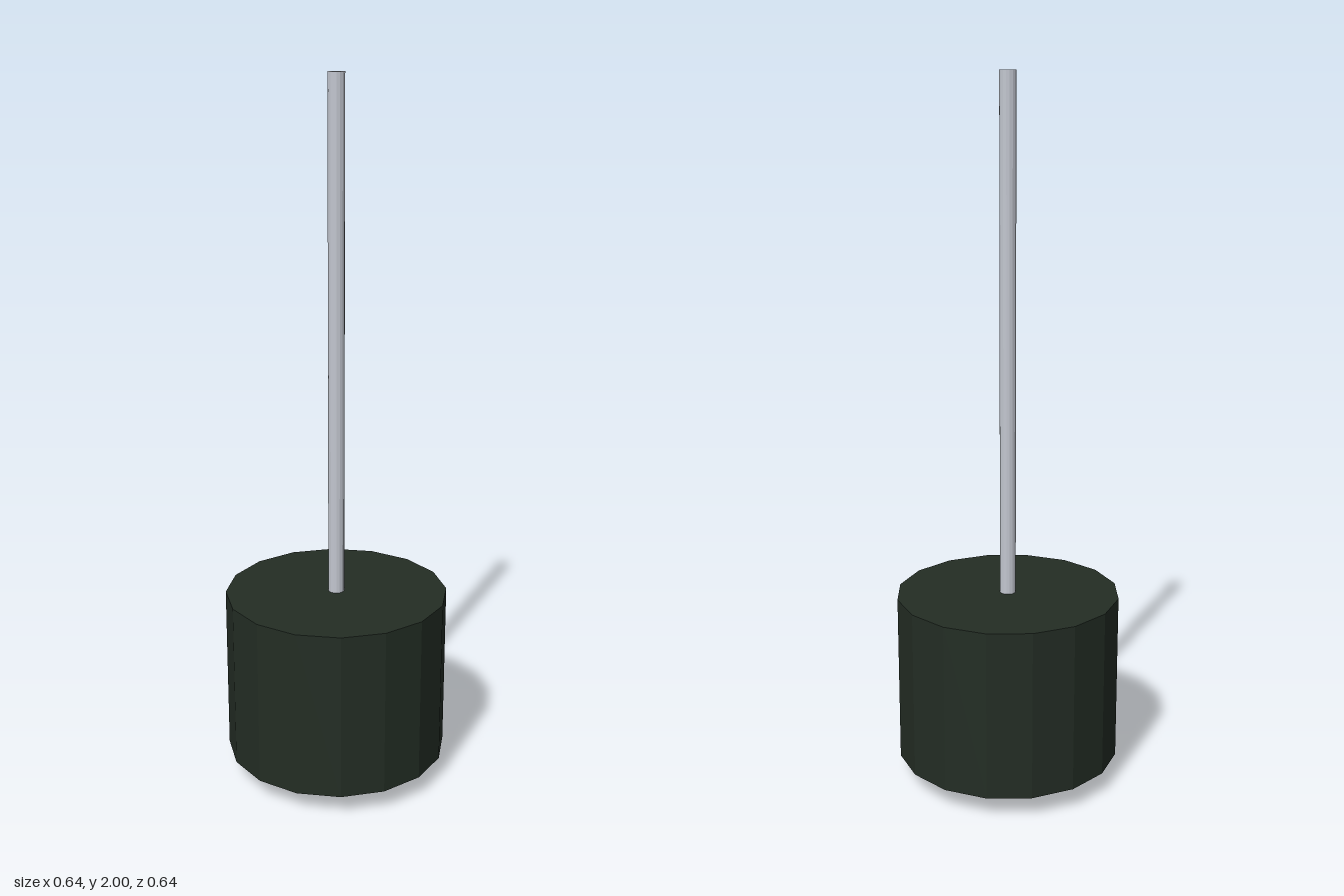
import * as THREE from 'three';

export function createModel() {
  const model = new THREE.Group();
  const darkGreen = new THREE.MeshStandardMaterial({ color: 0x232d24, flatShading: true });
  darkGreen.name = 'dark green';
  const paleSteel = new THREE.MeshStandardMaterial({ color: 0xc2c6cf, flatShading: true });
  paleSteel.name = 'pale steel';

  // Upright faceted cylinder spanning two heights
  function addCylinder(name, material, topRadius, bottomRadius, y0, y1, openTop = false) {
    const geometry = new THREE.CylinderGeometry(topRadius, bottomRadius, y1 - y0, 16, 1, openTop);
    const mesh = new THREE.Mesh(geometry, material);
    mesh.name = name;
    mesh.position.y = (y0 + y1) / 2;
    model.add(mesh);
    return mesh;
  }

  // Drum-shaped body: straight wall, tapered underside, closed top and bottom
  const profile = [[0, 0], [0.16, 0], [0.32, 0.065], [0.32, 0.55], [0, 0.55]];
  const body = new THREE.Mesh(
    new THREE.LatheGeometry(profile.map(([r, y]) => new THREE.Vector2(r, y)), 16),
    darkGreen
  );
  body.name = 'body';
  model.add(body);

  // Thin rod standing on the body
  addCylinder('rod', paleSteel, 0.023, 0.023, 0.54, 2);

  return model;
}
